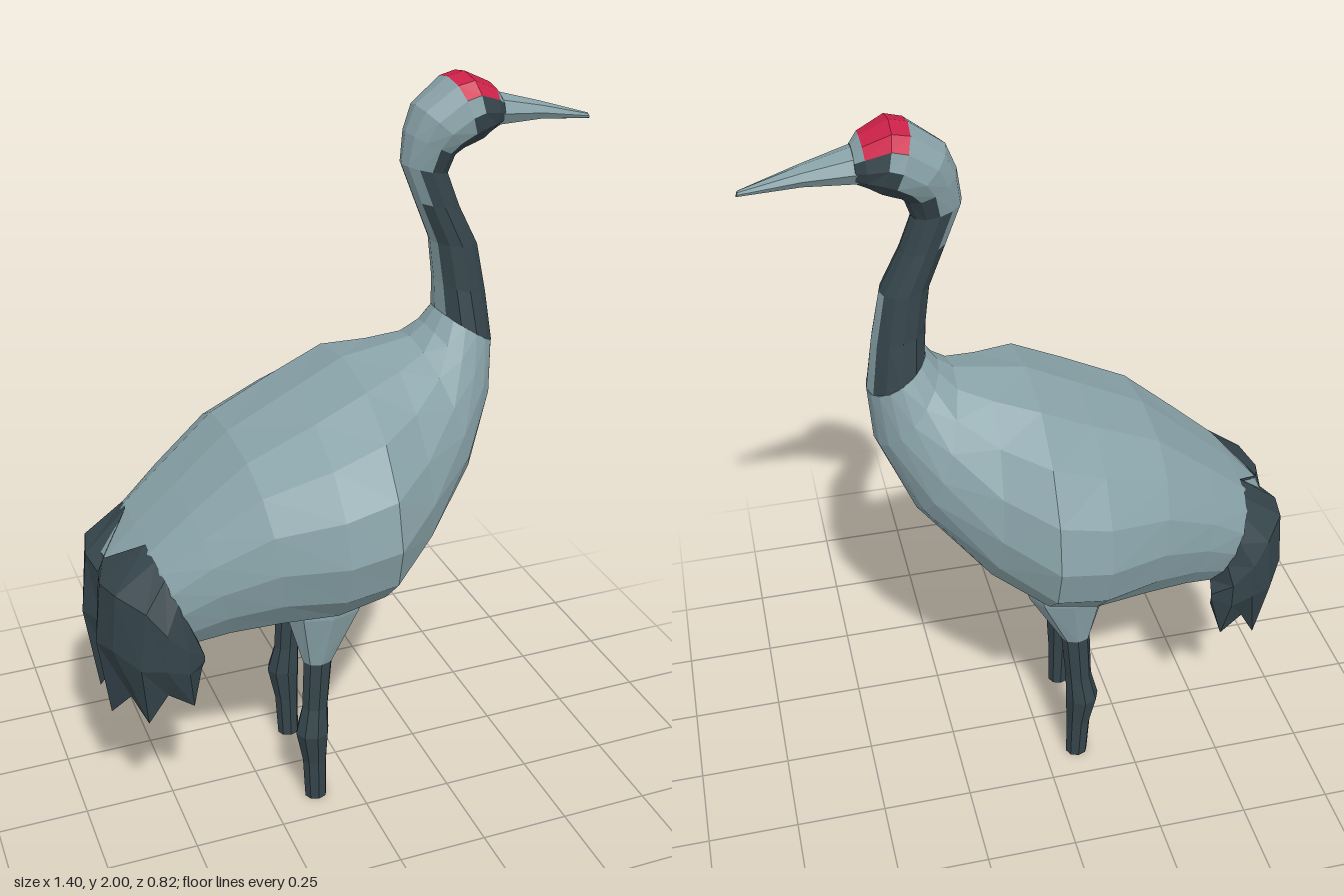
import * as THREE from 'three';

const material = (name, color, side = THREE.FrontSide) => {
  const m = new THREE.MeshStandardMaterial({ color, side, flatShading: true });
  m.name = name;
  return m;
};

// Turns a list of triangle corners into a named mesh
function facetMesh(name, points, mat) {
  const geometry = new THREE.BufferGeometry().setFromPoints(points);
  geometry.computeVertexNormals();
  const mesh = new THREE.Mesh(geometry, mat);
  mesh.name = name;
  return mesh;
}

// Point on an oval ring { top, bottom, w, z, box, drop } at angle a from its top.
// box below 1 squares the oval, drop lowers its widest level.
function ringPoint({ top, bottom, w, z = 0, box = 1, drop = 0 }, a) {
  const s = Math.sin(a), t = (1 + Math.cos(a) - drop * s * s) / 2;
  return new THREE.Vector3(
    bottom[0] + (top[0] - bottom[0]) * t,
    bottom[1] + (top[1] - bottom[1]) * t,
    z + w * Math.sign(s) * Math.abs(s) ** box);
}

const ring = (tx, ty, bx, by, w, more = {}) => ({ top: [tx, ty], bottom: [bx, by], w, ...more });

// Lofts rings; pick(i, j) gives the material of a facet: i = ring, j = steps down from the top edge
function loft(name, rings, sides, pick) {
  const loops = rings.map((r) => Array.from({ length: sides }, (_, k) => ringPoint(r, (k / sides) * Math.PI * 2)));
  const centres = rings.map(({ top, bottom, z = 0 }) =>
    new THREE.Vector3((top[0] + bottom[0]) / 2, (top[1] + bottom[1]) / 2, z));
  const buckets = new Map();
  const add = (mat, ...pts) => {
    if (!buckets.has(mat)) buckets.set(mat, []);
    buckets.get(mat).push(...pts);
  };
  const last = loops.length - 1;
  for (let k = 0; k < sides; k++) {
    const n = (k + 1) % sides, j = Math.min(k, sides - 1 - k);
    for (let i = 0; i < last; i++) {
      const [a, b, c, d] = [loops[i][k], loops[i][n], loops[i + 1][n], loops[i + 1][k]];
      // Diagonals mirror across the middle plane
      if (k < sides / 2) add(pick(i, j), a, b, c, a, c, d);
      else add(pick(i, j), a, b, d, b, c, d);
    }
    add(pick(0, j), centres[0], loops[0][n], loops[0][k]);
    add(pick(last - 1, j), centres[last], loops[last][k], loops[last][n]);
  }
  const group = new THREE.Group();
  group.name = name;
  for (const [mat, pts] of buckets) group.add(facetMesh(`${name} ${mat.name}`, pts, mat));
  return group;
}

export function createModel() {
  const grey = material('grey plumage', 0x88a2a8);
  const dark = material('dark plumage', 0x35454b, THREE.DoubleSide);
  const red = material('red crown', 0xcc2148);

  const model = new THREE.Group();
  model.name = 'crane';

  // Body from rump to base of the neck
  const rump = ring(-0.56, 0.893, -0.435, 0.575, 0.25, { box: 0.62, drop: -0.1 });
  const body = [
    ring(-0.645, 0.81, -0.60, 0.48, 0.17, { box: 0.8 }),
    rump,
    ring(-0.45, 0.99, -0.36, 0.58, 0.288, { box: 0.72, drop: -0.12 }),
    ring(-0.30, 1.12, -0.24, 0.59, 0.345, { box: 0.8, drop: -0.05 }),
    ring(-0.12, 1.21, -0.10, 0.61, 0.405, { box: 0.9, drop: 0.08 }),
    ring(0.02, 1.28, 0.03, 0.65, 0.412, { box: 0.93, drop: 0.17 }),
    ring(0.13, 1.297, 0.17, 0.73, 0.31, { drop: 0.17 }),
    ring(0.21, 1.31, 0.34, 0.93, 0.21, { drop: 0.1 }),
    ring(0.25, 1.34, 0.425, 1.13, 0.138),
    ring(0.28, 1.38, 0.435, 1.28, 0.10),
  ];
  model.add(loft('body', body, 16, () => grey));

  // Neck: dark sides, grey nape and a grey stripe up the throat
  const neck = [
    ring(0.28, 1.38, 0.435, 1.28, 0.10),
    ring(0.275, 1.46, 0.415, 1.42, 0.078),
    ring(0.26, 1.57, 0.388, 1.555, 0.065),
    ring(0.215, 1.68, 0.335, 1.66, 0.057),
    ring(0.175, 1.78, 0.30, 1.75, 0.056),
  ];
  model.add(loft('neck', neck, 12, (i, j) => (j < 1 || (i === 3 && j < 2) || (i < 2 && j > 4) ? grey : dark)));

  // Head: red crown, grey back and cheeks, dark face
  const head = [
    ring(0.175, 1.78, 0.30, 1.75, 0.056),
    ring(0.185, 1.86, 0.315, 1.795, 0.075),
    ring(0.21, 1.925, 0.335, 1.81, 0.093),
    ring(0.295, 1.988, 0.355, 1.82, 0.10, { box: 0.8 }),
    ring(0.34, 1.998, 0.375, 1.83, 0.098, { box: 0.7 }),
    ring(0.41, 1.965, 0.40, 1.845, 0.08, { box: 0.8 }),
    ring(0.43, 1.942, 0.43, 1.855, 0.06),
  ];
  model.add(loft('head', head, 12, (i, j) => {
    if (i >= 3 && i <= 4 && j < 2) return red;
    if (i < 3) return j < (i === 0 ? 3 : 4) ? grey : dark;
    return (i === 3 && j === 2) || (i === 5 && j < 2) ? grey : dark;
  }));

  // Beak with a dark lower half
  const beak = [
    ring(0.42, 1.942, 0.42, 1.853, 0.064),
    ring(0.55, 1.905, 0.55, 1.857, 0.036),
    ring(0.695, 1.860, 0.70, 1.845, 0.007),
  ];
  model.add(loft('beak', beak, 8, (i, j) => (j > 2 ? dark : grey)));

  // Legs: grey thigh, dark shank with a knobbly joint
  for (const [side, s, dx] of [['left', 1, -0.012], ['right', -1, 0.012]]) {
    const level = (front, back, y, w, z) => ring(front + dx, y, back + dx, y, w, { z: s * z });
    model.add(loft(`${side} thigh`, [
      level(0.08, -0.20, 0.76, 0.07, 0.15),
      level(0.035, -0.185, 0.62, 0.068, 0.15),
      level(-0.055, -0.14, 0.46, 0.034, 0.152),
    ], 8, () => grey));
    model.add(loft(`${side} shank`, [
      level(-0.055, -0.138, 0.47, 0.032, 0.152),
      level(-0.07, -0.145, 0.31, 0.032, 0.155),
      level(-0.07, -0.165, 0.23, 0.046, 0.16),
      level(-0.075, -0.145, 0.13, 0.032, 0.156),
      level(-0.075, -0.138, 0, 0.028, 0.154),
    ], 8, () => dark));
  }

  // Drooping tail feathers from the middle outwards: angle on the rump edge, then points down to the tip
  const feathers = [
    [null, [-0.665, 0.77, 0], [-0.668, 0.62, 0], [-0.64, 0.47, 0]],
    [14, [-0.68, 0.785, 0.08], [-0.70, 0.61, 0.08], [-0.67, 0.37, 0.065]],
    [32, [-0.66, 0.795, 0.17], [-0.675, 0.63, 0.165], [-0.63, 0.46, 0.14]],
    [52, [-0.60, 0.77, 0.245], [-0.62, 0.60, 0.24], [-0.60, 0.405, 0.20]],
    [78, [-0.555, 0.71, 0.27], [-0.56, 0.60, 0.265], [-0.55, 0.50, 0.225]],
    [105, [-0.50, 0.65, 0.268], [-0.50, 0.58, 0.268], [-0.485, 0.46, 0.24]],
    [135, [-0.45, 0.605, 0.235], [-0.45, 0.59, 0.235], [-0.455, 0.56, 0.22]],
  ];
  const columns = feathers.map(([angle, ...rest]) => [
    angle === null ? new THREE.Vector3(-0.65, 0.81, 0) : ringPoint(rump, THREE.MathUtils.degToRad(angle)),
    ...rest.map((p) => new THREE.Vector3(...p)),
  ]);
  for (const [side, s] of [['left', 1], ['right', -1]]) {
    const at = (c, r) => columns[c][r].clone().multiply(new THREE.Vector3(1, 1, s));
    const pts = [];
    for (let c = 0; c < columns.length - 1; c++) {
      for (let r = 0; r < 3; r++) {
        const quad = [at(c, r), at(c, r + 1), at(c + 1, r + 1), at(c + 1, r)];
        if (s < 0) quad.reverse();
        const [p, q, u, v] = quad;
        pts.push(p, q, u, p, u, v);
      }
    }
    model.add(facetMesh(`${side} tail feathers`, pts, dark));
  }

  return model;
}
